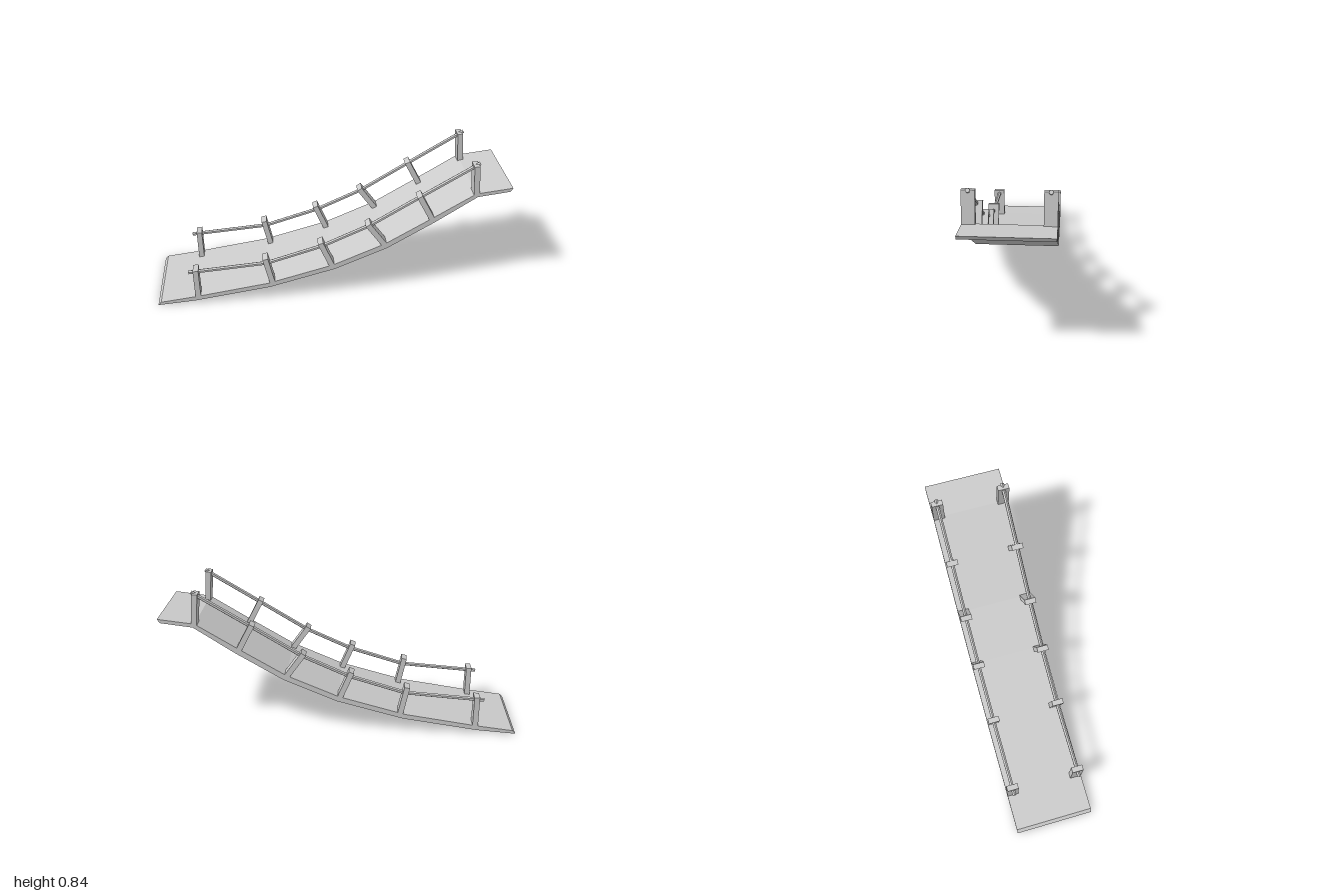
import * as THREE from 'three';

const HALF_WIDTH = 0.227;
const RAIL_Z = 0.194;

// [base x, base y, top x, top y, fraction of the height where the rail crosses]
const POSTS = [
  [-0.768, 0.03, -0.768, 0.226, 0.88],
  [-0.333, 0.095, -0.373, 0.283, 0.76],
  [0.012, 0.2, -0.06, 0.372, 0.8],
  [0.313, 0.33, 0.206, 0.48, 0.87],
  [0.57, 0.488, 0.486, 0.648, 0.9],
  [0.801, 0.64, 0.785, 0.823, 0.94],
];

// Deck underside, then the top edge on the way back
const DECK = [
  [-1, 0], [-0.78, 0.02], [-0.355, 0.088], [0.02, 0.193], [0.32, 0.323],
  [0.578, 0.48], [0.808, 0.634], [0.987, 0.658],
  [1, 0.68], [0.797, 0.654], [0.56, 0.506], [0.305, 0.351],
  [0.01, 0.222], [-0.365, 0.115], [-0.78, 0.047], [-0.982, 0.02],
];

export function createModel() {
  const model = new THREE.Group();
  const material = new THREE.MeshStandardMaterial({ color: 0xcccccc, flatShading: true });

  const add = (parent, name, geometry) => {
    const mesh = new THREE.Mesh(geometry, material);
    mesh.name = name;
    parent.add(mesh);
    return mesh;
  };

  // Places a geometry that runs along y between two points of a z plane
  const span = (parent, name, geometry, a, b, z) => {
    const mesh = add(parent, name, geometry);
    mesh.position.set((a.x + b.x) / 2, (a.y + b.y) / 2, z);
    mesh.rotation.z = Math.atan2(b.y - a.y, b.x - a.x) - Math.PI / 2;
  };

  // Curved walkway made of straight panels
  const outline = new THREE.Shape(DECK.map(([x, y]) => new THREE.Vector2(x, y)));
  const deck = new THREE.ExtrudeGeometry(outline, { depth: HALF_WIDTH * 2, bevelEnabled: false });
  deck.translate(0, 0, -HALF_WIDTH);
  add(model, 'deck', deck);

  // Rail corners sit inside the posts; both ends stick out a little
  const corners = POSTS.map(([bx, by, tx, ty, f]) =>
    new THREE.Vector2(bx, by).lerp(new THREE.Vector2(tx, ty), f));
  const extend = (end, next, d) => end.addScaledVector(end.clone().sub(next).normalize(), d);
  extend(corners[0], corners[1], 0.043);
  extend(corners[5], corners[4], 0.027);

  for (const side of [1, -1]) {
    const railing = new THREE.Group();
    railing.name = side > 0 ? 'frontRailing' : 'backRailing';
    model.add(railing);

    for (const [bx, by, tx, ty] of POSTS) {
      const a = new THREE.Vector2(bx, by), b = new THREE.Vector2(tx, ty);
      span(railing, 'post', new THREE.BoxGeometry(0.031, a.distanceTo(b), 0.066), a, b, side * RAIL_Z);
    }

    // Six-sided handrail with an edge facing up
    for (let i = 0; i < corners.length - 1; i++) {
      const a = corners[i], b = corners[i + 1];
      const bar = new THREE.CylinderGeometry(0.0115, 0.0115, a.distanceTo(b), 6);
      bar.rotateY(Math.PI / 2);
      span(railing, 'handrail', bar, a, b, side * RAIL_Z);
    }
  }
  return model;
}
